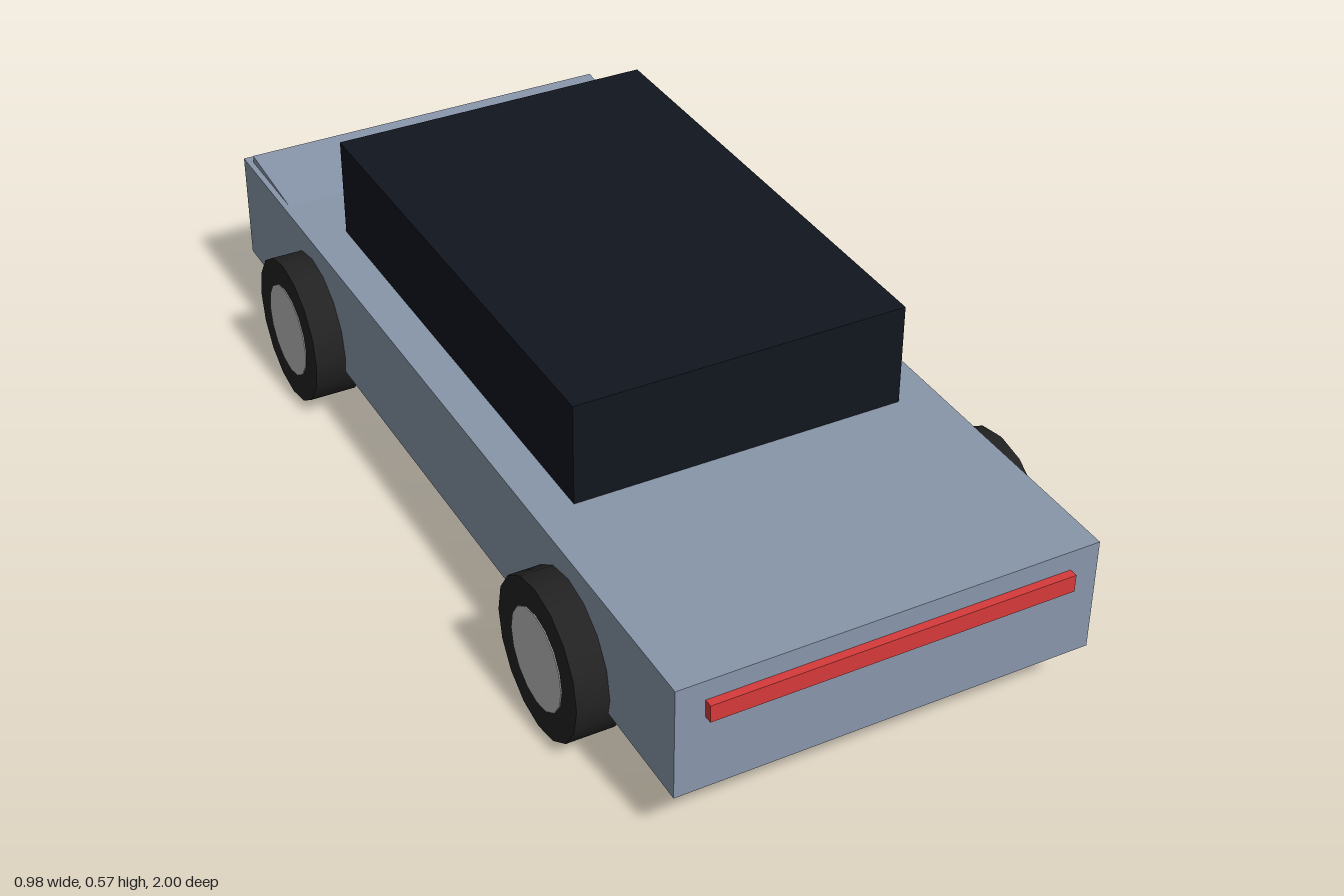
import * as THREE from 'three';

const material = (color) => new THREE.MeshStandardMaterial({ color });

export function createModel() {
  const car = new THREE.Group();
  car.name = 'car';
  const paint = material(0x8896aa);
  const glass = material(0x11151e);
  const rubber = material(0x222222);
  const metal = material(0xbbbbbb);
  const red = material(0xd63a3a);
  const silver = material(0xaaaaaa);

  function box(name, size, position, mat) {
    const mesh = new THREE.Mesh(new THREE.BoxGeometry(...size), mat);
    mesh.name = name;
    mesh.position.set(...position);
    car.add(mesh);
    return mesh;
  }

  // Body slab and dark cabin
  box('body', [0.845, 0.236, 1.966], [0, 0.24, 0], paint);
  box('cabin', [0.685, 0.214, 1.055], [0, 0.463, -0.068], glass);

  // Light bars at both ends
  box('frontLightBar', [0.73, 0.036, 0.034], [0, 0.299, 0.983], red);
  box('rearLightBar', [0.73, 0.036, 0.034], [0, 0.254, -0.983], silver);

  // Slightly raised lid that sinks into the rear deck
  const lid = box('rearLid', [0.82, 0.02, 0.22], [0, 0.356, -0.847], paint);
  lid.rotation.x = 0.08;

  // Wheels: tyre with a hub showing on both faces
  const tyreShape = new THREE.CylinderGeometry(0.157, 0.157, 0.098, 16).rotateZ(Math.PI / 2);
  const hubShape = new THREE.CylinderGeometry(0.1, 0.1, 0.102, 16).rotateZ(Math.PI / 2);
  for (const [end, z] of [['front', 0.595], ['rear', -0.595]]) {
    for (const [side, x] of [['Left', 0.438], ['Right', -0.438]]) {
      const wheel = new THREE.Group();
      wheel.name = `${end}${side}Wheel`;
      const tyre = new THREE.Mesh(tyreShape, rubber);
      tyre.name = 'tyre';
      const hub = new THREE.Mesh(hubShape, metal);
      hub.name = 'hub';
      wheel.add(tyre, hub);
      wheel.position.set(x, 0.157, z);
      car.add(wheel);
    }
  }
  return car;
}
